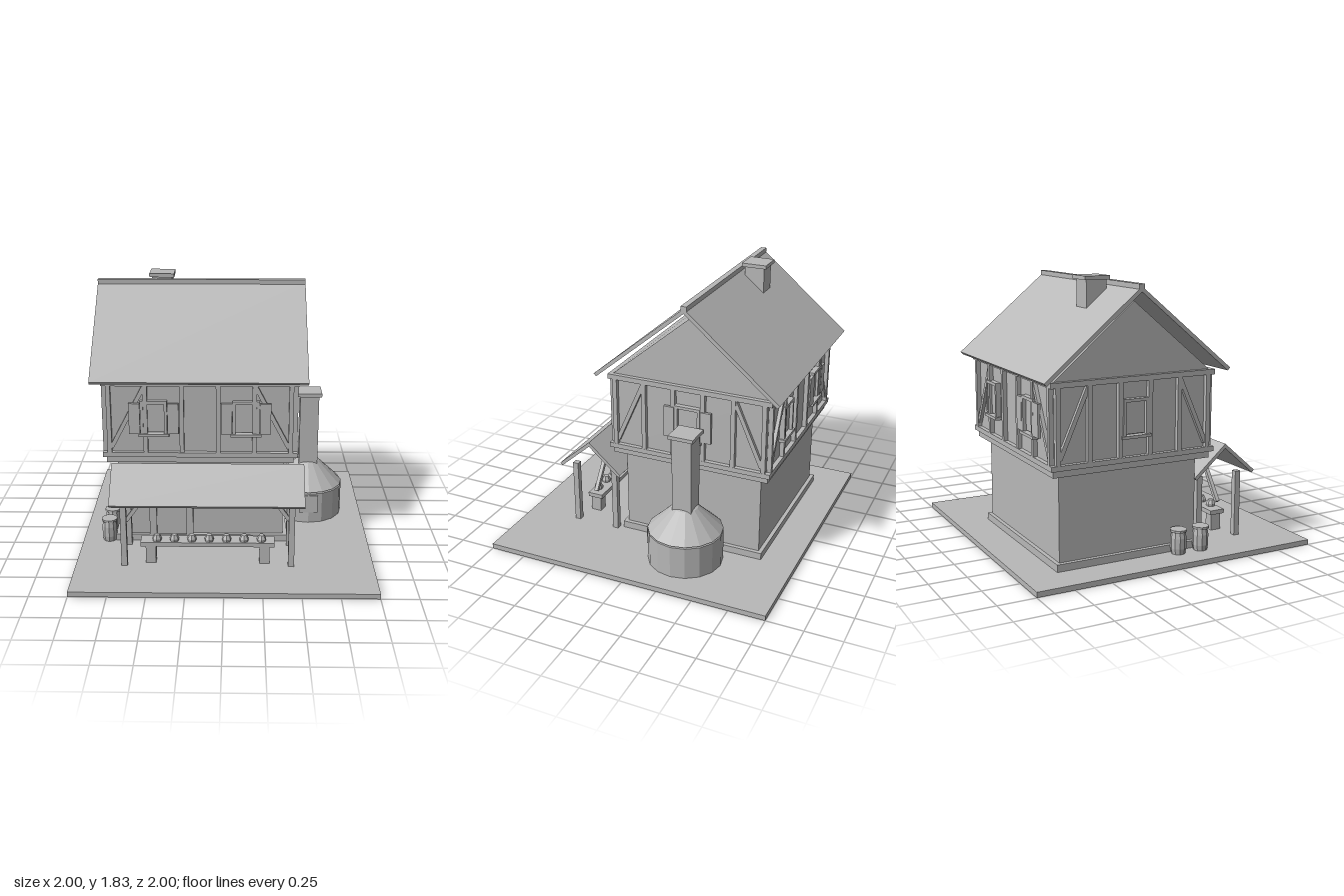
import * as THREE from 'three';

export function createModel() {
  const root = new THREE.Group();
  const stone = new THREE.MeshStandardMaterial({ color: 0xb8b8b8 });
  stone.name = 'plain grey';

  function add(name, geo, parent = root) {
    const m = new THREE.Mesh(geo, stone);
    m.name = name;
    parent.add(m);
    return m;
  }
  // box given by its limits on each axis
  function box(name, x0, x1, y0, y1, z0, z1, parent) {
    const m = add(name, new THREE.BoxGeometry(x1 - x0, y1 - y0, z1 - z0), parent);
    m.position.set((x0 + x1) / 2, (y0 + y1) / 2, (z0 + z1) / 2);
    return m;
  }
  // outline of [z, y] points extruded along x
  function prism(name, pts, x0, x1) {
    const shape = new THREE.Shape(pts.map(([z, y]) => new THREE.Vector2(-z, y)));
    const geo = new THREE.ExtrudeGeometry(shape, { depth: x1 - x0, bevelEnabled: false });
    geo.rotateY(Math.PI / 2).translate(x0, 0, 0);
    return add(name, geo);
  }
  // slanted timber between two points in a plane of constant z
  function brace(name, x0, y0, x1, y1, z, width, depth, parent) {
    const m = add(name, new THREE.BoxGeometry(Math.hypot(x1 - x0, y1 - y0), width, depth), parent);
    m.position.set((x0 + x1) / 2, (y0 + y1) / 2, z);
    m.rotation.z = Math.atan2(y1 - y0, x1 - x0);
    return m;
  }
  // faceted solid of revolution from [radius, y] points
  function turned(name, pts, sides, x, y, z) {
    const lathe = new THREE.LatheGeometry(pts.map(([r, h]) => new THREE.Vector2(r, h)), sides);
    const geo = lathe.toNonIndexed();
    geo.computeVertexNormals();
    const m = add(name, geo);
    m.position.set(x, y, z);
    return m;
  }

  const cx = -0.17, cz = -0.245; // centre of the house
  function slab(name, hx, y0, y1, hz) {
    return box(name, cx - hx, cx + hx, y0, y1, cz - hz, cz + hz);
  }

  // ground and storeys
  box('ground', -1, 1, 0.002, 0.037, -1, 1);
  slab('plinth', 0.6, 0.03, 0.085, 0.517);
  slab('lowerWalls', 0.572, 0.035, 0.66, 0.49);
  slab('jetty', 0.636, 0.65, 0.69, 0.555);
  slab('sillBeam', 0.66, 0.695, 0.728, 0.575);
  slab('upperWalls', 0.63, 0.68, 1.234, 0.545);
  slab('topPlate', 0.66, 1.2, 1.234, 0.575);

  // window on a facade, in facade coordinates where z = 0 is the wall
  function addWindow(facade, x, shutters) {
    const w = new THREE.Group();
    w.name = 'window';
    w.position.x = x;
    facade.add(w);
    box('windowPane', -0.075, 0.075, 0.87, 1.08, 0, 0.012, w);
    for (const s of [-1, 1]) {
      box('windowJamb', s * 0.08 - 0.01, s * 0.08 + 0.01, 0.86, 1.08, 0, 0.035, w);
      if (shutters) box('shutter', s * 0.13 - 0.037, s * 0.13 + 0.037, 0.865, 1.08, 0.015, 0.036, w);
    }
    box('windowHead', -0.09, 0.09, 1.075, 1.095, 0, 0.035, w);
    box('windowSill', -0.103, 0.103, 0.846, 0.865, 0, 0.045, w);
  }

  // timbered facades: turn, distance of wall, half width, windows
  const facades = [
    ['frontFacade', 0, 0.545, 0.63, [[-0.31, true], [0.31, true]]],
    ['leftFacade', Math.PI / 2, 0.63, 0.545, [[0, true]]],
    ['backFacade', Math.PI, 0.545, 0.63, [[-0.31, false], [0.31, true]]],
    ['rightFacade', -Math.PI / 2, 0.63, 0.545, [[0, false]]],
  ];
  for (const [name, turn, dist, half, windows] of facades) {
    const f = new THREE.Group();
    f.name = name;
    f.rotation.y = turn;
    f.position.set(cx + Math.sin(turn) * dist, 0, cz + Math.cos(turn) * dist);
    root.add(f);
    const edge = half - 0.018, step = edge * 2 / 5;
    for (let i = 0; i < 6; i++) {
      const x = -edge + i * step;
      box('post', x - 0.015, x + 0.015, 0.72, 1.205, -0.005, 0.029, f);
    }
    for (const s of [-1, 1]) {
      brace('cornerBrace', s * (edge - 0.012), 0.76, s * (edge - step + 0.008), 1.19, 0.01, 0.028, 0.026, f);
    }
    for (const [x, shutters] of windows) addWindow(f, x, shutters);
  }

  // gable, main roof and ridge
  prism('gable', [[0.305, 1.23], [cz, 1.69], [-0.795, 1.23]], cx - 0.63, cx + 0.63);
  prism('mainRoof', [[0.4, 1.248], [cz, 1.785], [-0.89, 1.248], [-0.873, 1.23], [cz, 1.752], [0.383, 1.23]], -0.895, 0.55);
  box('ridgeCap', -0.895, 0.55, 1.765, 1.8, cz - 0.02, cz + 0.02);

  // roof chimney
  box('chimney', -0.522, -0.383, 1.54, 1.81, -0.432, -0.292);
  box('chimneyCap', -0.54, -0.366, 1.805, 1.83, -0.45, -0.275);

  // front door
  box('door', -0.49, -0.27, 0.037, 0.435, 0.24, 0.26);
  box('doorJamb', -0.53, -0.48, 0.037, 0.44, 0.24, 0.28);
  box('doorJamb', -0.275, -0.225, 0.037, 0.44, 0.24, 0.28);
  box('doorLintel', -0.54, -0.21, 0.433, 0.485, 0.24, 0.285);

  // canopy over the counter
  const ax = -0.113;
  prism('canopyRoof', [[0.71, 0.505], [0.475, 0.71], [0.24, 0.505], [0.255, 0.487], [0.475, 0.679], [0.695, 0.487]], -0.755, 0.526);
  for (const s of [-1, 1]) {
    const px = ax + s * 0.558;
    for (const z of [0.625, 0.32]) box('canopyPost', px - 0.02, px + 0.02, 0.037, 0.49, z - 0.02, z + 0.02);
    brace('canopyBrace', px, 0.29, px - s * 0.145, 0.493, 0.475, 0.026, 0.026);
  }

  // counter with loaves
  box('counterTop', -0.565, 0.335, 0.16, 0.19, 0.495, 0.605);
  box('counterLeg', -0.53, -0.462, 0.037, 0.165, 0.525, 0.6);
  box('counterLeg', 0.234, 0.302, 0.037, 0.165, 0.525, 0.6);
  for (let i = 0; i < 7; i++) {
    turned('loaf', [[0, 0], [0.03, 0], [0.033, 0.018], [0.019, 0.045], [0, 0.047]], 7, -0.455 + i * 0.117, 0.19, 0.568);
  }

  // barrels beside the house
  for (const [x, z] of [[-0.81, 0.085], [-0.815, 0.25]]) {
    turned('barrel', [[0, 0], [0.046, 0], [0.053, 0.04], [0.053, 0.11], [0.046, 0.15], [0.056, 0.15], [0.056, 0.165], [0, 0.165]], 10, x, 0.035, z);
  }

  // outdoor oven
  const ox = 0.603, oz = -0.285;
  turned('ovenBody', [[0, 0], [0.254, 0], [0.254, 0.227], [0, 0.227]], 16, ox, 0.035, oz);
  turned('ovenDome', [[0, 0.273], [0.254, 0.273], [0.085, 0.435], [0, 0.465]], 16, ox, 0, oz);
  box('ovenDoor', 0.535, 0.668, 0.118, 0.25, -0.06, -0.028);
  box('ovenFlue', ox - 0.068, ox + 0.068, 0.36, 0.955, oz - 0.068, oz + 0.068);
  box('ovenFlueCap', ox - 0.087, ox + 0.087, 0.95, 0.975, oz - 0.087, oz + 0.087);

  return root;
}
